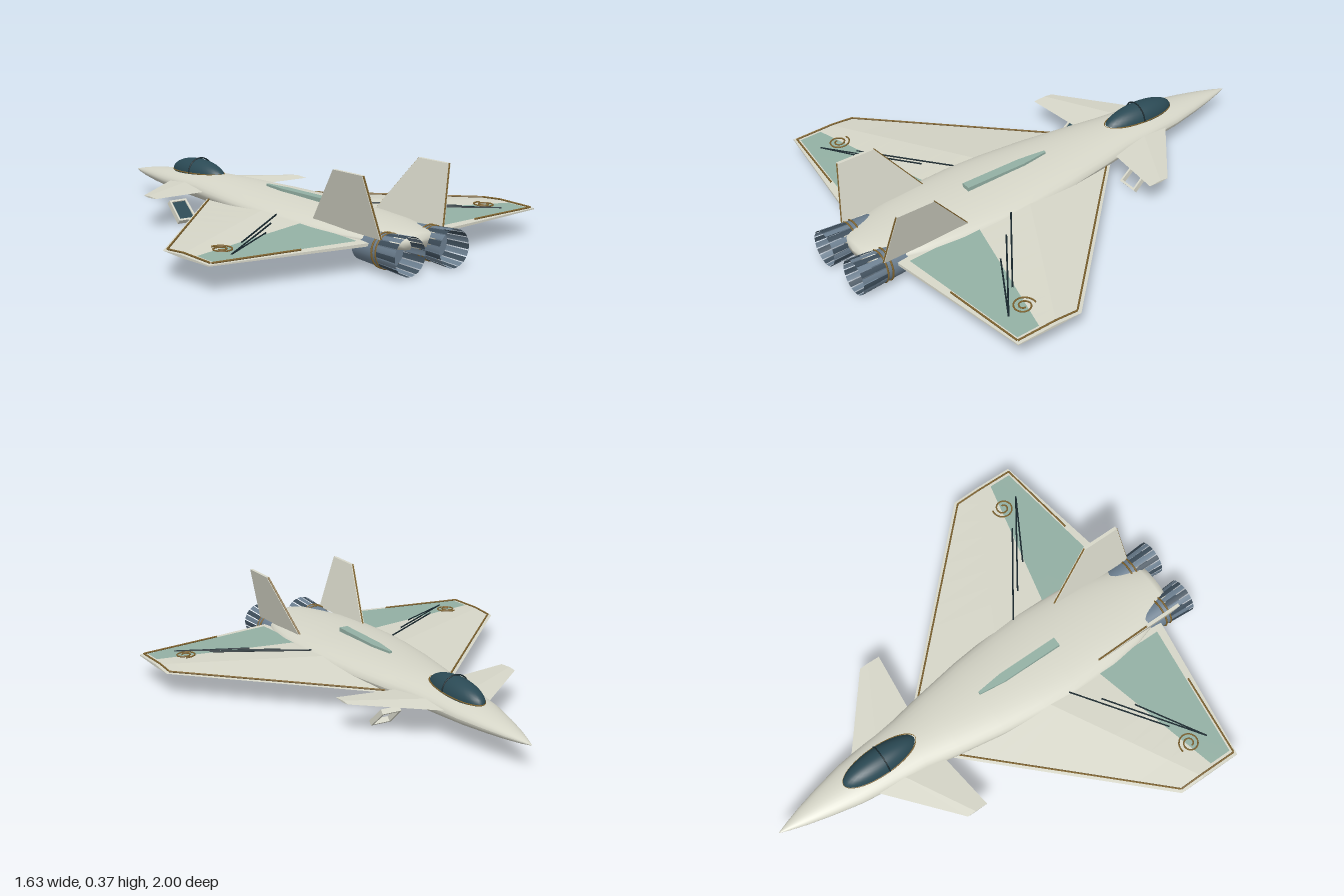
import * as THREE from 'three';

const mat = (name, color, double) => {
  const m = new THREE.MeshStandardMaterial({ color });
  m.name = name;
  if (double) m.side = THREE.DoubleSide;
  return m;
};
const V = (x, y, z) => new THREE.Vector3(x, y, z);

// Surface from equal-length rows of points
function loft(rows, flat) {
  const n = rows[0].length, pos = [], idx = [];
  rows.forEach(r => r.forEach(p => pos.push(p.x, p.y, p.z)));
  for (let i = 0; i < rows.length - 1; i++)
    for (let j = 0; j < n - 1; j++) {
      const a = i * n + j, b = a + n;
      idx.push(a, b, a + 1, b, b + 1, a + 1);
    }
  let g = new THREE.BufferGeometry();
  g.setAttribute('position', new THREE.Float32BufferAttribute(pos, 3));
  g.setIndex(idx);
  if (flat) g = g.toNonIndexed();
  g.computeVertexNormals();
  return g;
}

// Wing shape: chord ends, ridge and thickness as functions of span
const lead = x => -0.23 + (x - 0.15) * 1.015;
const trail = x => 0.83 - (x - 0.2) * 0.154;
const RIDGE = 0.4;
const thick = x => 0.04 - (x - 0.1) * 0.046;
function wingTop(x, z) {
  const t = (z - lead(x)) / (trail(x) - lead(x));
  const h = t < RIDGE ? t / RIDGE : 1 - 0.75 * (t - RIDGE) / (1 - RIDGE);
  return 0.1 + thick(x) * Math.max(0, h);
}

export function createModel() {
  const cream = mat('hull cream', 0xd6d6c8, true);
  const green = mat('sage panel', 0x93b0a4, true);
  const steel = mat('engine steel', 0x6c7f90, true);
  const dark = mat('dark slate', 0x3d4d5a, true);
  const glass = mat('canopy glass', 0x2b4a55);
  const gold = mat('bronze trim', 0x80642f);
  const ink = mat('ink stroke', 0x18282e);

  const model = new THREE.Group();
  const add = (name, geo, m, parent = model) => {
    const mesh = new THREE.Mesh(geo, m);
    mesh.name = name;
    parent.add(mesh);
    return mesh;
  };
  const line = (name, pts, r, m, parent, seg = 24) => {
    const path = new THREE.CurvePath();
    for (let i = 1; i < pts.length; i++) path.add(new THREE.LineCurve3(pts[i - 1], pts[i]));
    return add(name, new THREE.TubeGeometry(path, seg, r, 5), m, parent);
  };

  // Fuselage stations: z, half width, bottom, top
  const stations = [
    [-1, 0.001, 0.104, 0.106], [-0.95, 0.019, 0.095, 0.118], [-0.88, 0.041, 0.087, 0.131],
    [-0.78, 0.067, 0.079, 0.145], [-0.65, 0.096, 0.071, 0.159], [-0.5, 0.114, 0.063, 0.17],
    [-0.35, 0.129, 0.058, 0.176], [-0.2, 0.157, 0.055, 0.178], [0, 0.19, 0.055, 0.177],
    [0.2, 0.212, 0.057, 0.174], [0.35, 0.22, 0.058, 0.17], [0.55, 0.211, 0.061, 0.165],
    [0.7, 0.188, 0.065, 0.159], [0.82, 0.15, 0.069, 0.152], [0.9, 0.112, 0.074, 0.147],
    [0.925, 0.085, 0.08, 0.141], [0.935, 0.001, 0.109, 0.111]];
  add('fuselage', loft(stations.map(([z, w, b, t]) =>
    Array.from({ length: 33 }, (_, j) => {
      const a = j / 32 * Math.PI * 2;
      return V(Math.cos(a) * w, (b + t) / 2 - Math.sin(a) * (t - b) / 2, z);
    }))), cream);

  // Canopy with rim and arch
  const canopy = add('canopy', new THREE.SphereGeometry(1, 32, 20), glass);
  canopy.scale.set(0.062, 0.064, 0.178);
  canopy.position.set(0, 0.158, -0.5);
  const rim = Array.from({ length: 37 }, (_, i) => {
    const a = i / 36 * Math.PI * 2;
    return V(Math.cos(a) * 0.062, 0.166 + Math.sin(a) * 0.008, -0.5 + Math.sin(a) * 0.176);
  });
  line('canopyRim', rim, 0.003, gold, model, 72);
  const arch = add('canopyArch', new THREE.TorusGeometry(0.062, 0.003, 6, 28, Math.PI), ink);
  arch.position.set(0, 0.165, -0.49);

  // Dorsal spine
  const spine = new THREE.Shape([[-0.02, -0.4], [0.02, -0.4], [0.02, -0.12], [0.006, 0], [-0.006, 0], [-0.02, -0.12]]
    .map(p => new THREE.Vector2(...p)));
  const spineMesh = add('dorsalSpine', new THREE.ExtrudeGeometry(spine, { depth: 0.03, bevelEnabled: false }), green);
  spineMesh.rotation.x = -Math.PI / 2;
  spineMesh.position.y = 0.156;

  // One side, built on +x
  const buildSide = side => {
    const g = new THREE.Group();
    g.name = side > 0 ? 'leftSide' : 'rightSide';
    g.scale.x = side;
    model.add(g);

    // Delta wing
    const rows = [];
    for (let i = 0; i <= 10; i++) {
      const x = 0.1 + 0.715 * i / 10, l = lead(x), c = trail(x) - l, h = thick(x);
      const p = (t, y) => V(x, y, l + c * t);
      rows.push([p(0, 0.1), p(RIDGE, 0.1 + h), p(1, 0.1 + h * 0.25), p(1, 0.097), p(RIDGE, 0.097 - h * 0.2), p(0, 0.1)]);
    }
    add('wing', loft(rows, true), cream, g);
    const tip = rows[10];
    add('wingTip', loft([[tip[0], tip[1], tip[2]], [tip[0], tip[4], tip[3]]], true), cream, g);

    // Painted wing panel following the wing skin
    const patch = [];
    for (let i = 0; i <= 12; i++) {
      const x = 0.19 + 0.595 * i / 12;
      const z0 = 0.473 + (x - 0.19) * 0.245, z1 = 0.795 - (x - 0.19) * 0.13;
      patch.push(Array.from({ length: 9 }, (_, j) => {
        const z = z0 + (z1 - z0) * j / 8;
        return V(x, wingTop(x, z) + 0.003, z);
      }));
    }
    add('wingPanel', loft(patch), green, g);

    // Trim, strokes and spiral laid on the wing
    const onWing = (a, b) => Array.from({ length: 9 }, (_, i) => {
      const x = a[0] + (b[0] - a[0]) * i / 8, z = a[1] + (b[1] - a[1]) * i / 8;
      return V(x, wingTop(x, z) + 0.004, z);
    });
    line('leadingTrim', onWing([0.15, -0.21], [0.8, 0.452]), 0.004, gold, g);
    line('tipTrim', onWing([0.8, 0.452], [0.8, 0.727]), 0.004, gold, g);
    line('trailingTrim', onWing([0.8, 0.727], [0.435, 0.772]), 0.004, gold, g);
    [[[0.2, 0.32], [0.56, 0.575]], [[0.3, 0.415], [0.68, 0.68]], [[0.4, 0.515], [0.68, 0.68]]]
      .forEach(([a, b]) => line('wingStroke', onWing(a, b), 0.0035, ink, g));
    const spiral = Array.from({ length: 41 }, (_, i) => {
      const a = i / 40 * Math.PI * 3.6, r = 0.012 + 0.036 * i / 40;
      const x = 0.665 + Math.cos(a) * r, z = 0.6 + Math.sin(a) * r;
      return V(x, wingTop(x, z) + 0.005, z);
    });
    line('wingSpiral', spiral, 0.0035, gold, g, 80);

    // Canard: root and tip sections
    const section = (x, z0, z1, y, h) => [V(x, y, z0), V(x, y + h, z0 + (z1 - z0) * 0.4), V(x, y, z1),
      V(x, y - h, z0 + (z1 - z0) * 0.4), V(x, y, z0)];
    const tipC = section(0.395, -0.335, -0.24, 0.13, 0.004);
    add('canard', loft([section(0.08, -0.593, -0.275, 0.124, 0.013), tipC], true), cream, g);
    add('canardTip', loft([[tipC[0], tipC[1], tipC[2]], [tipC[0], tipC[3], tipC[2]]], true), cream, g);

    // Canted tail fin: outline in (z, y), leaning outward
    const outline = [[0.5, 0.14], [0.89, 0.13], [0.855, 0.37], [0.69, 0.37]];
    const finX = y => 0.157 + (y - 0.14) * 0.25;
    const fin = [-0.007, 0.007].map(o => outline.map(([z, y]) => V(finX(y) + o, y, z)));
    fin.forEach(f => f.push(f[0]));
    add('tailFin', loft(fin, true), cream, g);
    fin.forEach(f => add('finFace', loft([[f[0], f[1]], [f[3], f[2]]], true), cream, g));
    const edge = outline.map(([z, y]) => V(finX(y), y, z));
    line('finTrim', [edge[0], edge[3]], 0.004, gold, g, 4);
    line('finTrim', [edge[1], edge[2]], 0.004, gold, g, 4);

    // Engine
    const engine = new THREE.Group();
    engine.name = 'engine';
    engine.position.set(0.11, 0.08, 0);
    engine.rotation.x = Math.PI / 2;
    g.add(engine);
    add('nacelle', new THREE.CylinderGeometry(0.067, 0.058, 0.15, 32), steel, engine).position.y = 0.815;
    for (const z of [0.862, 0.885]) {
      const ring = add('engineRing', new THREE.TorusGeometry(0.067, 0.004, 6, 32), gold, engine);
      ring.rotation.x = Math.PI / 2;
      ring.position.y = z;
    }
    const step = Math.PI * 2 / 18;
    for (let i = 0; i < 18; i++) {
      const petal = new THREE.CylinderGeometry(0.075, 0.067, 0.12, 2, 1, true, i * step, step * 0.82);
      add('nozzlePetal', petal, i % 2 ? steel : dark, engine).position.y = 0.94;
    }

    // Slanted intake frame under the canard
    const frame = new THREE.Shape([[-0.045, -0.055], [0.045, -0.055], [0.04, 0.055], [-0.045, 0.055]]
      .map(p => new THREE.Vector2(...p)));
    frame.holes.push(new THREE.Path([[-0.036, -0.046], [-0.036, 0.046], [0.032, 0.046], [0.036, -0.046]]
      .map(p => new THREE.Vector2(...p))));
    const intake = new THREE.Group();
    intake.name = 'intake';
    intake.position.set(0.216, 0.044, -0.318);
    intake.rotation.x = -0.85;
    g.add(intake);
    add('intakeFrame', new THREE.ExtrudeGeometry(frame, { depth: 0.022, bevelEnabled: false }), cream, intake).position.z = -0.011;
    if (side < 0) add('intakePlug', new THREE.BoxGeometry(0.074, 0.094, 0.012), glass, intake);
  };
  buildSide(1);
  buildSide(-1);
  return model;
}
